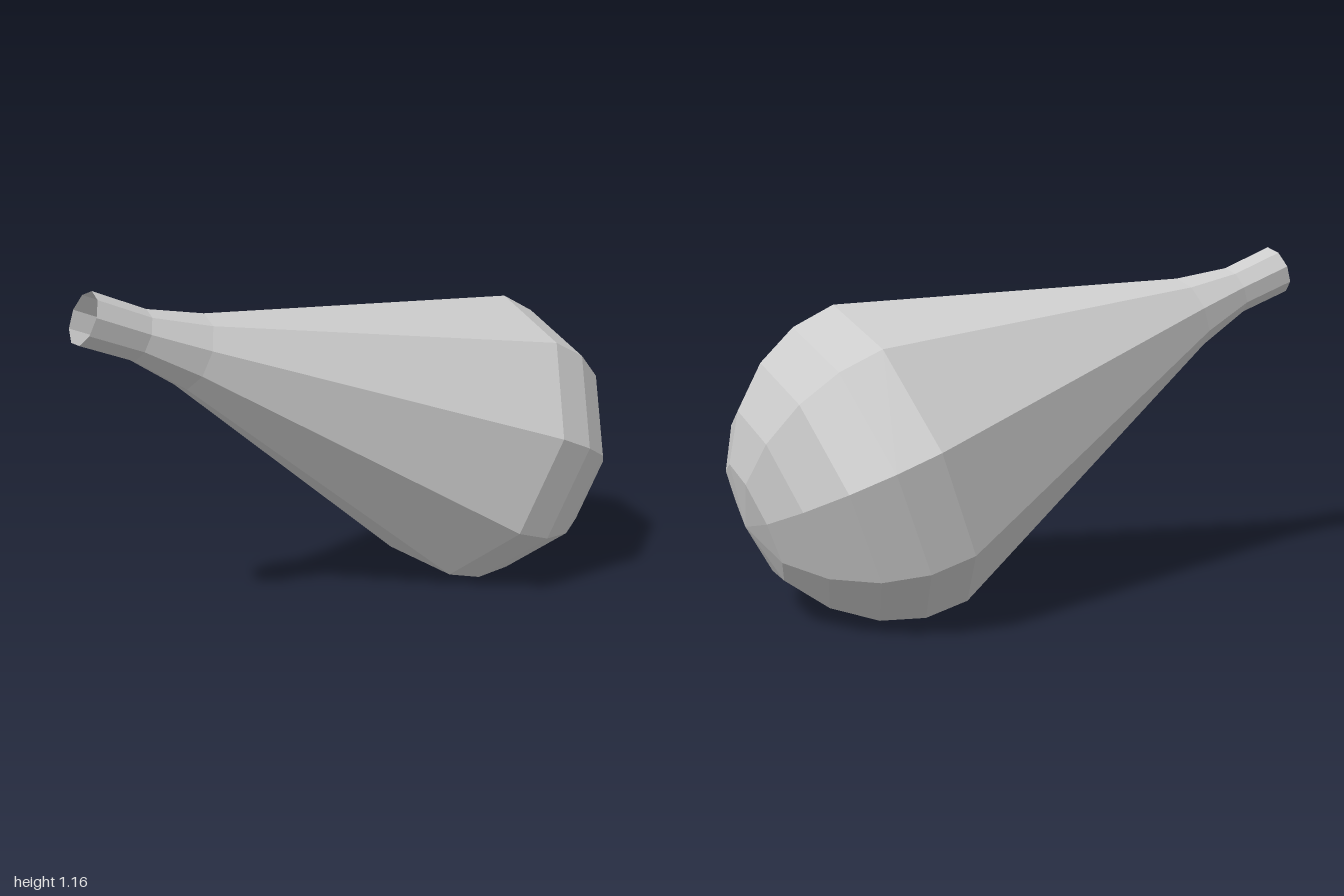
import * as THREE from 'three';

export function createModel() {
  const group = new THREE.Group();
  group.name = 'flask';

  // Profile [radius, height along the axis]: domed base, long taper, open neck
  const profile = [
    [0, -0.53], [0.205, -0.497], [0.347, -0.408], [0.455, -0.285], [0.516, -0.147],
    [0.53, 0], [0.127, 1.185], [0.085, 1.383], [0.087, 1.575],
  ].map(([r, h]) => new THREE.Vector2(r, h));

  const body = new THREE.Mesh(
    new THREE.LatheGeometry(profile, 9),
    new THREE.MeshStandardMaterial({ color: 0xcccccc, flatShading: true, side: THREE.DoubleSide })
  );
  body.name = 'bulbBodyWithOpenNeck';

  // Tilt: the axis leans forward, up and to the right; one edge faces the left side
  const axis = new THREE.Vector3(-0.186, 0.363, 0.913).normalize();
  const edge = new THREE.Vector3(0.98, 0.149, 0.14);
  edge.addScaledVector(axis, -edge.dot(axis)).normalize();
  const side = new THREE.Vector3().crossVectors(axis, edge);
  body.quaternion.setFromRotationMatrix(new THREE.Matrix4().makeBasis(side, axis, edge));
  body.position.set(-0.014, 0.506, -0.475);
  group.add(body);

  // Rest the lowest point on the ground and centre the rest
  group.updateMatrixWorld(true);
  const box = new THREE.Box3().setFromObject(body, true);
  const c = box.getCenter(new THREE.Vector3());
  body.position.sub(new THREE.Vector3(c.x, box.min.y, c.z));
  return group;
}
